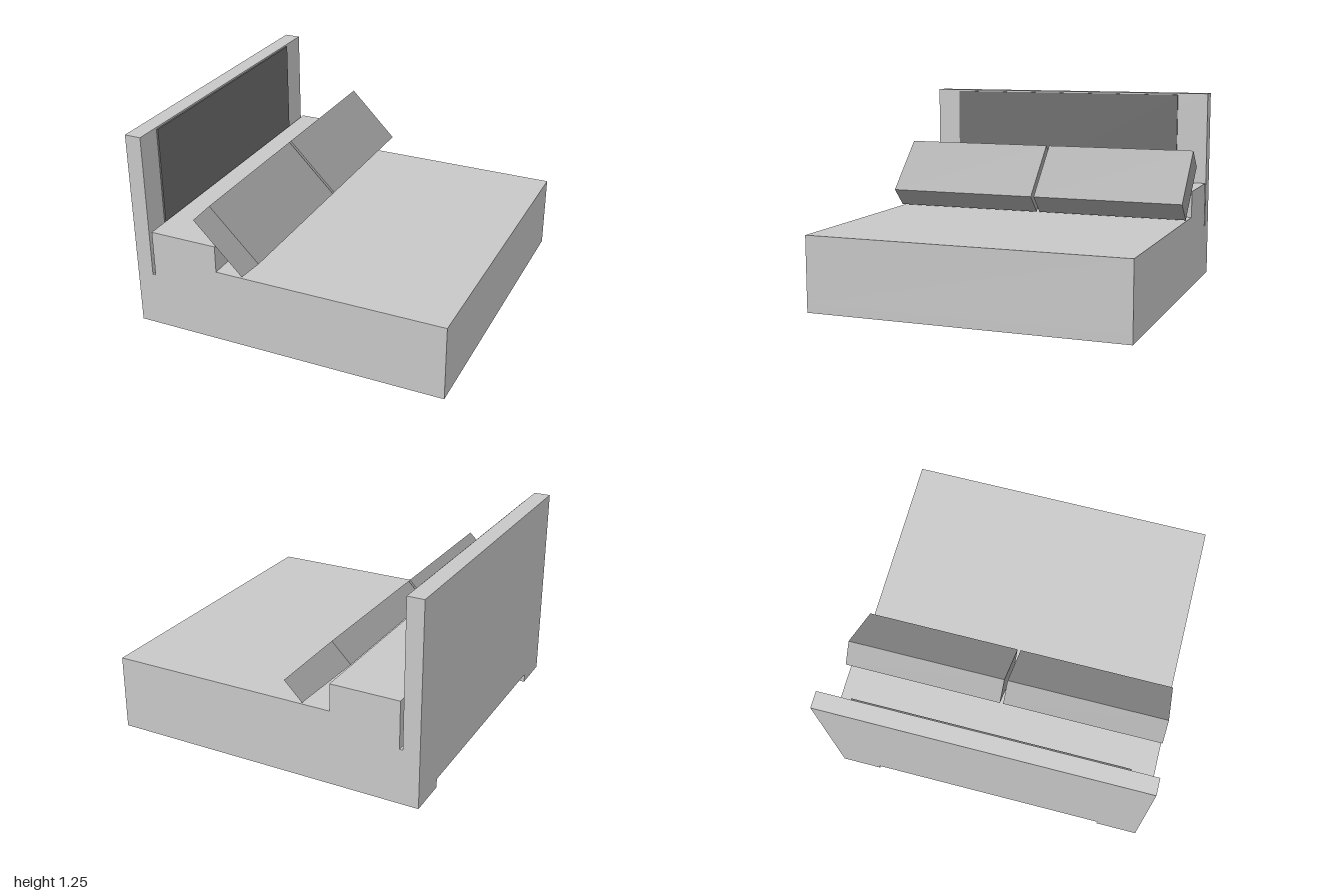
import * as THREE from 'three';

const mat = (name, color) => {
  const m = new THREE.MeshStandardMaterial({ color });
  m.name = name;
  return m;
};

export function createModel() {
  const bed = new THREE.Group();
  bed.name = 'bed';
  const frameGrey = mat('light grey', 0xc8c8c8);
  const pillowGrey = mat('mid grey', 0xa0a0a0);
  const panelGrey = mat('dark grey', 0x6d6d6d);

  const add = (name, geometry, material) => {
    const mesh = new THREE.Mesh(geometry, material);
    mesh.name = name;
    bed.add(mesh);
  };
  // Box given by its lowest and highest corner
  const box = (name, material, [x0, y0, z0], [x1, y1, z1]) => add(name,
    new THREE.BoxGeometry(x1 - x0, y1 - y0, z1 - z0)
      .translate((x0 + x1) / 2, (y0 + y1) / 2, (z0 + z1) / 2), material);
  // Side profile swept along z
  const sweep = (name, material, points, z0, z1) => add(name,
    new THREE.ExtrudeGeometry(new THREE.Shape(points.map(p => new THREE.Vector2(...p))),
      { depth: z1 - z0, bevelEnabled: false }).translate(0, 0, z0), material);

  // Headboard, slot, raised shelf and mattress in one profile
  const under = 0.055;
  sweep('bedBody', frameGrey, [
    [-1, under], [1, under], [1, 0.47], [-0.445, 0.47], [-0.445, 0.64],
    [-0.877, 0.64], [-0.877, 0.345], [-0.897, 0.345], [-0.897, 1.25], [-1, 1.25],
  ], -1, 1);

  // Runners below both sides, and the thin foot board closing the recess
  box('runnerLeft', frameGrey, [-1, 0, 0.74], [1, under, 1]);
  box('runnerRight', frameGrey, [-1, 0, -1], [1, under, -0.75]);
  box('footBoard', frameGrey, [0.994, 0, -0.75], [1, under, 0.74]);

  // Dark panel standing in the slot against the headboard
  box('headPanel', panelGrey, [-0.896, 0.35, -0.795], [-0.886, 1.24, 0.835]);

  // Two slabs leaning on the shelf as pillows
  const pillow = [[-0.578, 0.787], [-0.27, 0.478], [-0.154, 0.594], [-0.462, 0.903]];
  sweep('pillowFront', pillowGrey, pillow, 0.006, 1);
  sweep('pillowBack', pillowGrey, pillow, -1, -0.014);

  return bed;
}
